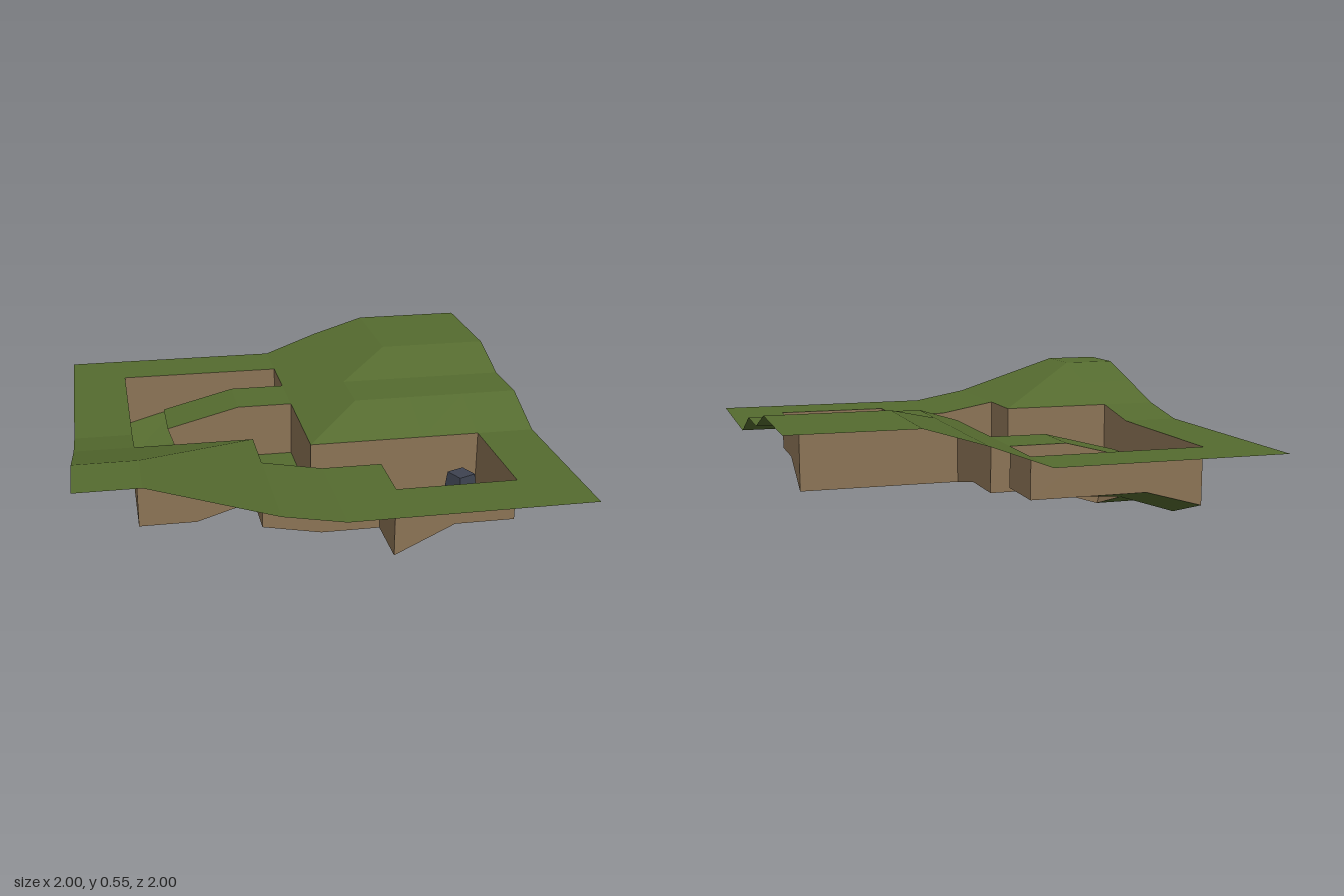
import * as THREE from 'three';

const grass = new THREE.MeshStandardMaterial({ name: 'grass', color: 0x556b2f, side: THREE.DoubleSide });
const earth = new THREE.MeshStandardMaterial({ name: 'earth', color: 0x8b7355, side: THREE.DoubleSide });
const slate = new THREE.MeshStandardMaterial({ name: 'slate', color: 0x3e4350 });

// Grid of 8 x 8 cells, # marks the sunken trench (rows run back to front)
const CELL = 0.25;
const plan = [
  '........',
  '.###....',
  '.#......',
  '.###....',
  '.###....',
  '...####.',
  '.....##.',
  '........',
];
const isTrench = (i, j) => plan[j]?.[i] === '#';

// Trench floor heights at grid points, from point (1, 1)
const floorRows = [
  [0.1, 0.17, 0.17, 0.17],
  [0.02, 0.1, 0.17, 0.17],
  [0.02, 0.02, 0.097, 0.097],
  [0.02, 0.02, 0.097, 0.097],
  [0.02, 0.02, 0.097, 0.05, 0.05, 0.05, 0.05],
  [0, 0, 0.097, 0.05, 0.05, 0.17, 0.17],
  [0, 0, 0, 0, 0.05, 0.17, 0.17],
];

// Piecewise linear lookup
function ramp(points, t) {
  if (t <= points[0][0]) return points[0][1];
  for (let k = 1; k < points.length; k++) {
    const [t0, y0] = points[k - 1], [t1, y1] = points[k];
    if (t <= t1) return y0 + ((y1 - y0) * (t - t0)) / (t1 - t0);
  }
  return points[points.length - 1][1];
}

// Two terraced hills in opposite corners
function hillHeight(x, z) {
  const frontHill = ramp([[-0.75, 0.548], [-0.25, 0.39], [0, 0.345]], Math.max(x, -z));
  const backHill = Math.min(
    ramp([[0, 0.345], [0.25, 0.438], [0.5, 0.515]], x),
    ramp([[-0.5, 0.515], [-0.25, 0.438], [0, 0.438], [0.25, 0.345]], z));
  return Math.max(frontHill, backHill);
}

function groundPoint(i, j) {
  const x = -1 + i * CELL, z = -1 + j * CELL;
  // drooping, overhanging tip of the tongue of land
  if (i === 2 && (j === 2 || j === 3)) return [-0.58, 0.26, z];
  return [x, hillHeight(x, z), z];
}

function floorPoint(i, j) {
  return [-1 + i * CELL, floorRows[j - 1][i - 1], -1 + j * CELL];
}

// Flat-shaded mesh from quads; each quad is split along b-d, or along a-c
function quadMesh(name, quads, material) {
  const pos = [];
  for (const { p: [a, b, c, d], flip } of quads) {
    const tris = flip ? [a, b, c, a, c, d] : [a, b, d, b, c, d];
    tris.forEach((v) => pos.push(...v));
  }
  const geo = new THREE.BufferGeometry();
  geo.setAttribute('position', new THREE.Float32BufferAttribute(pos, 3));
  geo.computeVertexNormals();
  const mesh = new THREE.Mesh(geo, material);
  mesh.name = name;
  return mesh;
}

// Tapered four-sided stone, standing on y
function stone(name, x, y, z, turn) {
  const geo = new THREE.CylinderGeometry(0.08 * Math.SQRT1_2, 0.112 * Math.SQRT1_2, 0.165, 4).toNonIndexed();
  geo.rotateY(Math.PI / 4);
  geo.computeVertexNormals();
  const mesh = new THREE.Mesh(geo, slate);
  mesh.name = name;
  mesh.position.set(x, y + 0.0825, z);
  mesh.rotation.y = THREE.MathUtils.degToRad(turn);
  return mesh;
}

export function createModel() {
  const ground = [], floor = [], walls = [];
  for (let j = 0; j < 8; j++) {
    for (let i = 0; i < 8; i++) {
      const corners = [[i, j], [i, j + 1], [i + 1, j + 1], [i + 1, j]];
      if (!isTrench(i, j)) {
        ground.push({ p: corners.map((c) => groundPoint(...c)) });
        continue;
      }
      floor.push({ p: corners.map((c) => floorPoint(...c)), flip: j >= 4 });
      // wall wherever the trench meets solid ground
      const neighbours = [[i - 1, j], [i, j + 1], [i + 1, j], [i, j - 1]];
      neighbours.forEach((n, k) => {
        if (isTrench(...n)) return;
        const s = corners[k], e = corners[(k + 1) % 4];
        walls.push({ p: [floorPoint(...e), floorPoint(...s), groundPoint(...s), groundPoint(...e)] });
      });
    }
  }

  const model = new THREE.Group();
  model.name = 'trenchTerrain';
  model.add(
    quadMesh('ground', ground, grass),
    quadMesh('trenchFloor', floor, grass),
    quadMesh('trenchWalls', walls, earth),
    stone('leftStone', 0.575, 0.145, 0.57, 23),
    stone('rightStone', -0.55, 0, 0.055, -36));
  return model;
}
